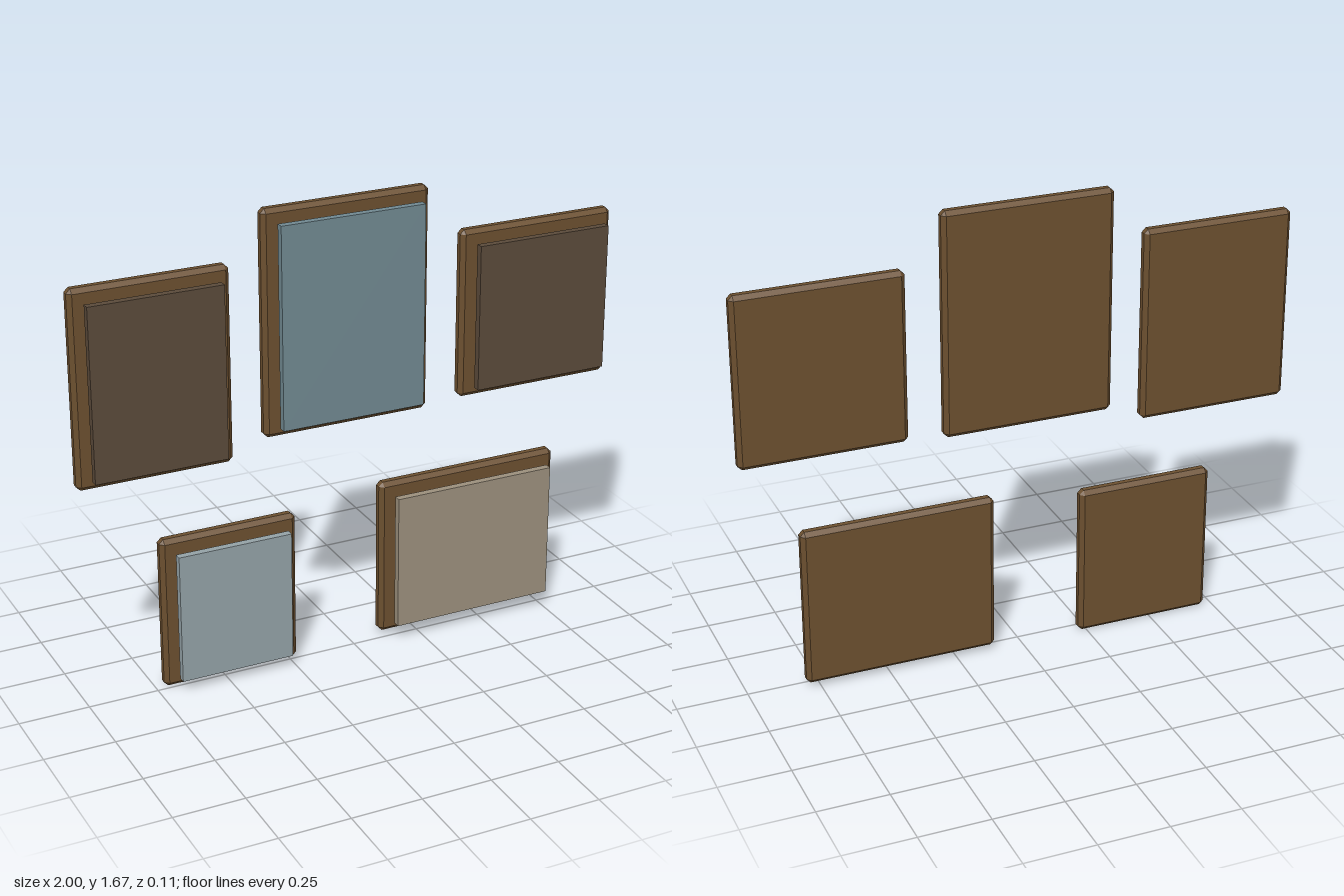
import * as THREE from 'three';
import { ConvexGeometry } from 'three/addons/geometries/ConvexGeometry.js';

const BACK = -0.053, FRAME_DEPTH = 0.05;      // wooden backing slab
const PANEL_DEPTH = 0.027, PANEL_FRONT = 0.053; // picture panel floating in front
const CHAMFER = 0.015, MARGIN = 0.043;

// Box with every edge and corner chamfered
function chamferedBox(w, h, d, c) {
  const points = [];
  for (const sx of [-1, 1]) for (const sy of [-1, 1]) for (const sz of [-1, 1]) {
    const x = w / 2, y = h / 2, z = d / 2;
    points.push(
      new THREE.Vector3(sx * x, sy * (y - c), sz * (z - c)),
      new THREE.Vector3(sx * (x - c), sy * y, sz * (z - c)),
      new THREE.Vector3(sx * (x - c), sy * (y - c), sz * z));
  }
  return new ConvexGeometry(points);
}

const material = (color) => new THREE.MeshStandardMaterial({ color, flatShading: true });

export function createModel() {
  const group = new THREE.Group();
  group.name = 'pictureWall';
  const wood = material(0x6b4f2f);
  const dark = material(0x5a4a3a);

  // Outer frame bounds: left, right, bottom, top
  const pictures = [
    { name: 'upperRightPicture', box: [-1, -0.445, 0.8, 1.5], art: dark },
    { name: 'upperMiddlePicture', box: [-0.33, 0.283, 0.86, 1.667], art: material(0x708890) },
    { name: 'upperLeftPicture', box: [0.41, 1, 0.873, 1.485], art: dark },
    { name: 'lowerRightPicture', box: [-0.72, -0.22, 0, 0.56], art: material(0x93a1a6) },
    { name: 'lowerLeftPicture', box: [0.105, 0.8, 0.018, 0.603], art: material(0x9b8f7c) },
  ];

  for (const { name, box: [x0, x1, y0, y1], art } of pictures) {
    const w = x1 - x0, h = y1 - y0;
    const picture = new THREE.Group();
    picture.name = name;
    picture.position.set((x0 + x1) / 2, (y0 + y1) / 2, 0);

    const frame = new THREE.Mesh(chamferedBox(w, h, FRAME_DEPTH, CHAMFER), wood);
    frame.name = 'frame';
    frame.position.z = BACK + FRAME_DEPTH / 2;

    const panel = new THREE.Mesh(
      new THREE.BoxGeometry(w - 2 * MARGIN, h - 2 * MARGIN, PANEL_DEPTH), art);
    panel.name = 'panel';
    panel.position.z = PANEL_FRONT - PANEL_DEPTH / 2;

    picture.add(frame, panel);
    group.add(picture);
  }
  return group;
}
